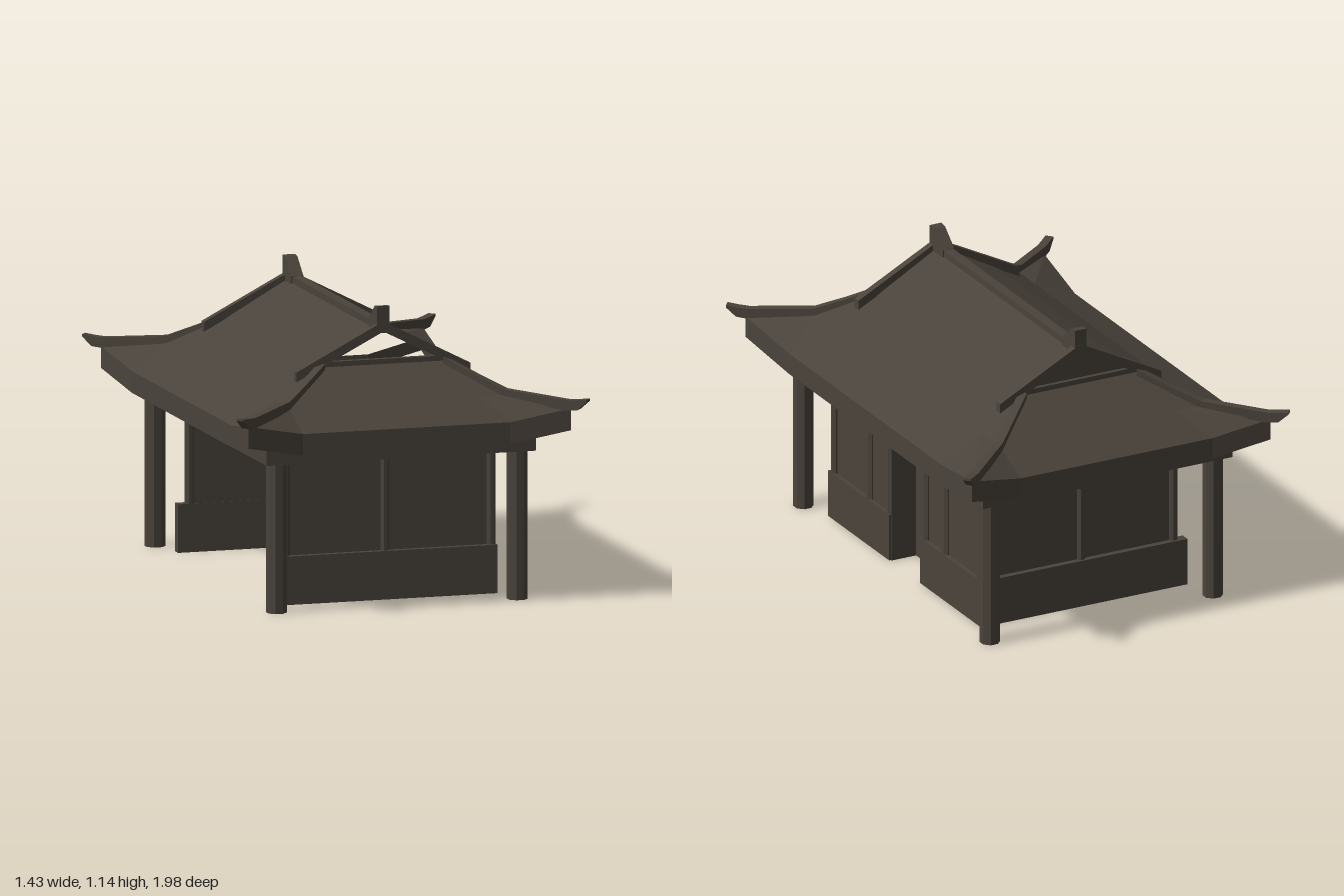
import * as THREE from 'three';

const timber = new THREE.MeshStandardMaterial({ color: 0x4a433b });
timber.name = 'dark timber';
const panelMat = new THREE.MeshStandardMaterial({ color: 0x4a433b, side: THREE.DoubleSide });
panelMat.name = 'dark timber panel';

// Flat-shaded surface: rows run top to bottom, columns left to right seen from outside
function grid(rows) {
  const pos = [];
  for (let i = 0; i + 1 < rows.length; i++) {
    for (let j = 0; j + 1 < rows[i].length; j++) {
      const a = rows[i][j], b = rows[i][j + 1], c = rows[i + 1][j], d = rows[i + 1][j + 1];
      pos.push(...a, ...c, ...d, ...a, ...d, ...b);
    }
  }
  const g = new THREE.BufferGeometry();
  g.setAttribute('position', new THREE.Float32BufferAttribute(pos, 3));
  g.computeVertexNormals();
  return g;
}

export function createModel() {
  const root = new THREE.Group();
  root.name = 'pavilion';

  function add(name, geo, mat = timber) {
    const m = new THREE.Mesh(geo, mat);
    m.name = name;
    root.add(m);
    return m;
  }
  // Box given by its limits
  function box(name, x0, x1, y0, y1, z0, z1) {
    const m = add(name, new THREE.BoxGeometry(x1 - x0, y1 - y0, z1 - z0));
    m.position.set((x0 + x1) / 2, (y0 + y1) / 2, (z0 + z1) / 2);
  }
  // Ceiling sheet facing down
  function ceiling(name, x0, x1, z0, z1) {
    const geo = new THREE.PlaneGeometry(x1 - x0, z1 - z0).rotateX(Math.PI / 2);
    add(name, geo).position.set((x0 + x1) / 2, 0.6, (z0 + z1) / 2);
  }
  // Faceted upright post
  function post(name, x, z, y0, y1, radius) {
    const geo = new THREE.CylinderGeometry(radius, radius, y1 - y0, 8).toNonIndexed();
    geo.rotateY(Math.PI / 8);
    geo.computeVertexNormals();
    add(name, geo).position.set(x, (y0 + y1) / 2, z);
  }
  // Upright rectangular section swept along [x, z, yTop, yBottom] stations
  function bar(name, path, width) {
    const rows = path.map(([x, z, top, bot], i) => {
      const p = path[Math.max(i - 1, 0)], q = path[Math.min(i + 1, path.length - 1)];
      const dx = q[0] - p[0], dz = q[1] - p[1], k = width / 2 / Math.hypot(dx, dz);
      const rx = dz * k, rz = -dx * k;
      const tl = [x - rx, top, z - rz], tr = [x + rx, top, z + rz];
      return [tl, tr, [x + rx, bot, z + rz], [x - rx, bot, z - rz], tl];
    });
    add(name, grid(rows));
    const s = rows[0], e = rows[rows.length - 1];
    add(name + 'Start', grid([[s[1], s[0]], [s[2], s[3]]]));
    add(name + 'End', grid([[e[0], e[1]], [e[3], e[2]]]));
  }

  // Corner columns
  for (const sx of [-1, 1]) for (const sz of [-1, 1]) {
    post('column', sx * 0.487, sz * 0.76, 0, 0.6, 0.04);
  }

  for (const s of [-1, 1]) {
    const zr = (a, b) => (s > 0 ? [a, b] : [-b, -a]);
    // End walls with a low base, upper panel and posts
    box('endBaseWall', -0.45, 0.45, 0, 0.19, ...zr(0.585, 0.624));
    box('endPanel', -0.41, 0.44, 0.19, 0.59, ...zr(0.588, 0.6));
    for (const x of [-0.4, 0.003, 0.433]) post('endPost', x, s * 0.597, 0.19, 0.59, 0.019);
    // Side wall sections; the opposite long side stays open
    box('sideBaseWall', 0.412, 0.452, 0, 0.19, ...zr(0.125, 0.624));
    box('sidePanel', 0.422, 0.434, 0.19, 0.59, ...zr(0.125, 0.6));
    for (const z of [0.31, 0.147]) post('sidePost', 0.43, s * z, 0.19, 0.59, 0.021);
    box('doorReveal', 0.335, 0.445, 0, 0.59, ...zr(0.12, 0.132));
    ceiling('porchCeiling', -0.54, 0.54, ...zr(0.59, 0.81));
  }
  box('doorPanel', 0.325, 0.337, 0, 0.59, -0.13, 0.13);
  ceiling('innerCeiling', -0.54, 0.3, -0.59, 0.59);

  // Beam frame above the columns: outer face and narrow underside
  const ring = (x, y, z) => [[-x, y, z], [x, y, z], [x, y, -z], [-x, y, -z], [-x, y, z]];
  add('beam', grid([ring(0.545, 0.7, 0.815), ring(0.545, 0.585, 0.815), ring(0.51, 0.585, 0.78)]));

  // Eave ring: fascia board with a thin lip, and a soffit set higher behind it
  const half = (h) => [...h, ...h.map(([x, y, z]) => [-x, y, -z]), h[0]];
  const eave = half([
    [-0.652, 0.762, 0.922], [-0.42, 0.715, 0.885], [0.42, 0.715, 0.885],
    [0.652, 0.762, 0.922], [0.625, 0.715, 0.62], [0.625, 0.715, -0.62],
  ]);
  const inner = half([
    [-0.54, 0.69, 0.81], [-0.42, 0.685, 0.81], [0.42, 0.685, 0.81],
    [0.54, 0.69, 0.81], [0.54, 0.685, 0.62], [0.54, 0.685, -0.62],
  ]);
  const eaveLow = eave.map(([x, y, z]) => [x, y - 0.085, z]);
  const lip = eaveLow.map(([x, y, z]) => [x * 0.98, y, z * 0.985]);
  const lipTop = lip.map(([x, y, z]) => [x, y + 0.05, z]);
  add('fascia', grid([eave, eaveLow, lip, lipTop]));
  add('soffit', grid([lipTop, inner]));

  // Roof: two long slopes and two hipped ends, each pair turned about the centre
  const sideRow = (x, y, zs) => zs.map((z) => [x, y, z]);
  const slope = grid([
    sideRow(0, 1.06, [0.58, 0.45, -0.45, -0.58]),
    sideRow(0.25, 0.92, [0.58, 0.5, -0.5, -0.58]),
    sideRow(0.44, 0.8, [0.755, 0.6, -0.6, -0.755]),
    [[0.652, 0.762, 0.922], [0.625, 0.715, 0.62], [0.625, 0.715, -0.62], [0.652, 0.762, -0.922]],
  ]);
  const endRow = (z, y, xs) => xs.map((x) => [x, y, z]);
  const hipped = grid([
    endRow(0.58, 0.92, [-0.25, -0.18, 0.18, 0.25]),
    endRow(0.755, 0.8, [-0.44, -0.33, 0.33, 0.44]),
    [[-0.652, 0.762, 0.922], [-0.42, 0.715, 0.885], [0.42, 0.715, 0.885], [0.652, 0.762, 0.922]],
  ]);
  for (const a of [0, Math.PI]) {
    add('longSlope', slope).rotation.y = a;
    add('hippedEnd', hipped).rotation.y = a;
  }

  // Ridge with raised horns at both ends
  box('ridge', -0.02, 0.02, 1.035, 1.075, -0.58, 0.58);
  for (const s of [-1, 1]) {
    bar('ridgeHorn', [
      [0, s * 0.485, 1.076, 1.04], [0, s * 0.56, 1.14, 1.04], [0, s * 0.592, 1.143, 1.04],
    ], 0.05);
    box('gableSill', -0.26, 0.26, 0.905, 0.935, s * 0.575 - 0.012, s * 0.575 + 0.012);

    for (const sx of [-1, 1]) {
      // Gable boards
      bar('gableBoard', [[0, s * 0.578, 1.083, 1.043], [sx * 0.352, s * 0.578, 0.902, 0.864]], 0.03);
      // Hip ridges with swept-up tips
      bar('hipRidge', [
        [sx * 0.25, s * 0.588, 0.93, 0.895], [sx * 0.35, s * 0.673, 0.872, 0.832],
        [sx * 0.445, s * 0.755, 0.822, 0.785], [sx * 0.64, s * 0.922, 0.798, 0.757],
        [sx * 0.675, s * 0.952, 0.801, 0.762], [sx * 0.705, s * 0.978, 0.806, 0.797],
      ], 0.033);
    }
  }

  // Closed gable at the back
  const tri = new THREE.Shape([
    new THREE.Vector2(-0.25, 0.915), new THREE.Vector2(0.25, 0.915), new THREE.Vector2(0, 1.055),
  ]);
  add('gablePanel', new THREE.ShapeGeometry(tri), panelMat).position.z = -0.57;

  return root;
}
